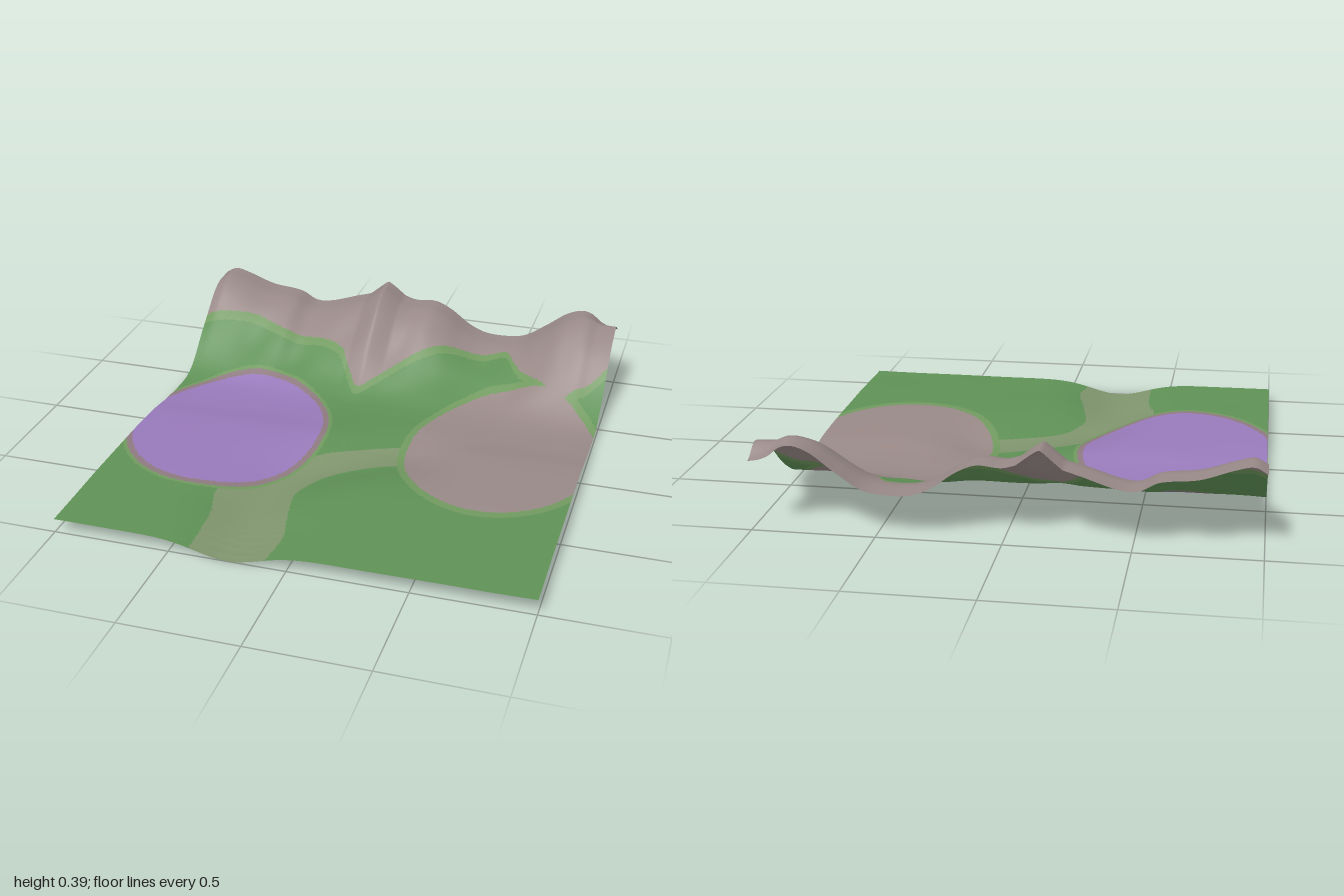
import * as THREE from 'three';

// smooth curve y(x) through a few [x, y] points
function profile(pts) {
  const slope = pts.map((p, i) => {
    const a = pts[Math.max(i - 1, 0)], b = pts[Math.min(i + 1, pts.length - 1)];
    return (b[1] - a[1]) / (b[0] - a[0]);
  });
  return x => {
    let i = 0;
    while (i < pts.length - 2 && x > pts[i + 1][0]) i++;
    const [x0, y0] = pts[i], [x1, y1] = pts[i + 1], h = x1 - x0;
    const t = Math.min(Math.max((x - x0) / h, 0), 1), t2 = t * t, t3 = t2 * t;
    return y0 * (2 * t3 - 3 * t2 + 1) + slope[i] * h * (t3 - 2 * t2 + t)
      + y1 * (3 * t2 - 2 * t3) + slope[i + 1] * h * (t3 - t2);
  };
}

const spline = pts => new THREE.SplineCurve(pts.map(p => new THREE.Vector2(...p))).getPoints(40);
const smooth = THREE.MathUtils.smoothstep;

// mountain skyline along x, and the plain's height along z
const crest = profile([[-1, .345], [-.95, .37], [-.88, .355], [-.75, .31], [-.6, .29], [-.52, .25], [-.44, .255],
  [-.3, .3], [-.2, .33], [-.14, .345], [-.06, .33], [0, .315], [.1, .32], [.18, .285], [.27, .22], [.35, .185],
  [.45, .178], [.55, .195], [.65, .26], [.75, .335], [.82, .362], [.87, .365], [.92, .345], [1, .34]]);
const plain = profile([[-1, .035], [-.4, .033], [-.3, .031], [-.15, .04], [0, .058], [.3, .068], [.6, .07], [1, .065]]);

// foot of the rock, as z along x
const rockLine = profile([[-1, -.7], [-.85, -.73], [-.73, -.745], [-.6, -.71], [-.4, -.7], [-.28, -.65], [-.22, -.56],
  [-.15, -.47], [-.08, -.53], [0, -.6], [.1, -.67], [.25, -.76], [.4, -.8], [.5, -.83], [.55, -.75], [.6, -.69],
  [.72, -.6], [.8, -.52], [.85, -.57], [.92, -.61], [1, -.69]]);

// sunken path: centre line for the trough, outline for the colour
const pathCentre = spline([[-.25, 1.1], [-.25, .8], [-.26, .6], [-.22, .4], [-.1, .22], [.1, .08], [.25, .02]]);
const pathOutline = [
  ...spline([[-.41, 1.05], [-.42, .75], [-.46, .58], [-.42, .5], [-.33, .37], [-.2, .2], [-.1, .1], [.17, -.03], [.3, -.06]]),
  ...spline([[.3, .12], [.2, .14], [.1, .18], [-.05, .28], [-.12, .4], [-.14, .5], [-.1, .7], [-.07, .85], [-.1, 1.05]]),
];

function insidePath(x, z) {
  let inside = false;
  for (let i = 0, j = pathOutline.length - 1; i < pathOutline.length; j = i++) {
    const a = pathOutline[i], b = pathOutline[j];
    if ((a.y > z) !== (b.y > z) && x < (b.x - a.x) * (z - a.y) / (b.y - a.y) + a.x) inside = !inside;
  }
  return inside;
}

function height(x, z) {
  let y = plain(z) + .004 * x + .0012 * Math.sin(9 * x + 4 * z) * Math.sin(11 * z - 3 * x);
  // trough along the path
  let d = 9;
  for (const p of pathCentre) d = Math.min(d, Math.hypot(x - p.x, z - p.y));
  y -= (.04 + .022 * smooth(z, 0, .35)) * Math.exp(-((d / .19) ** 2)) * smooth(z, -.3, .05);
  // mountain range with one sharp rib
  const rise = smooth(-z, .37, .92);
  if (rise > 0) {
    const rib = .05 * Math.max(0, 1 - Math.abs(x + .145) / .09);
    const bumps = .008 * Math.sin(13 * x + 2) * Math.sin(21 * z + 5 * x) + .004 * Math.sin(29 * x + 9 * z);
    const cornerDrop = .05 * smooth(x, .8, 1) * smooth(-z, .9, 1);
    y += rise * (crest(x) - y) + rib * Math.sqrt(rise) + bumps * rise * (1 - rise) * 3 - cornerDrop;
  }
  return y;
}

const GRASS = 0, ROCK = 1, LAVENDER = 2, PATH = 3, VERGE = 4, BANK = 5;

// which ground cover lies at a point
function cover(x, z) {
  const pool = Math.hypot((x + .61) / .42, (z - .03) / .51);
  const field = Math.hypot((x - .64) / .425, (z + .07) / .53);
  const foot = rockLine(x);
  if (pool < 1) return LAVENDER;
  if (pool < 1.06) return BANK;
  if (field < 1 || z < foot) return ROCK;
  if (pool < 1.095 || field < 1.075 || z < foot + .04) return VERGE;
  return insidePath(x, z) ? PATH : GRASS;
}

export function createModel() {
  const paint = (name, color) => new THREE.MeshStandardMaterial({ name, color, side: THREE.DoubleSide });
  const materials = [
    paint('grass green', 0x5f9156), paint('rock grey', 0x988987), paint('lavender', 0x987abb),
    paint('path olive', 0x80956e), paint('verge green', 0x71995f), paint('bank mauve', 0x8e7a80),
  ];

  // height field over a square grid
  const n = 240;
  const ground = new THREE.PlaneGeometry(2, 2, n, n).rotateX(-Math.PI / 2);
  const pos = ground.attributes.position;
  let low = Infinity;
  for (let i = 0; i < pos.count; i++) {
    pos.setY(i, height(pos.getX(i), pos.getZ(i)));
    low = Math.min(low, pos.getY(i));
  }
  ground.translate(0, -low, 0);
  ground.computeVertexNormals();

  // sort the faces into one group per ground cover
  const faces = materials.map(() => []);
  const index = ground.index.array;
  for (let i = 0; i < index.length; i += 3) {
    const [a, b, c] = index.slice(i, i + 3);
    const x = (pos.getX(a) + pos.getX(b) + pos.getX(c)) / 3;
    const z = (pos.getZ(a) + pos.getZ(b) + pos.getZ(c)) / 3;
    faces[cover(x, z)].push(a, b, c);
  }
  ground.setIndex(faces.flat());
  ground.clearGroups();
  let start = 0;
  faces.forEach((f, m) => {
    ground.addGroup(start, f.length, m);
    start += f.length;
  });

  const terrain = new THREE.Mesh(ground, materials);
  terrain.name = 'terrain';
  const model = new THREE.Group();
  model.name = 'landscape';
  model.add(terrain);
  return model;
}
